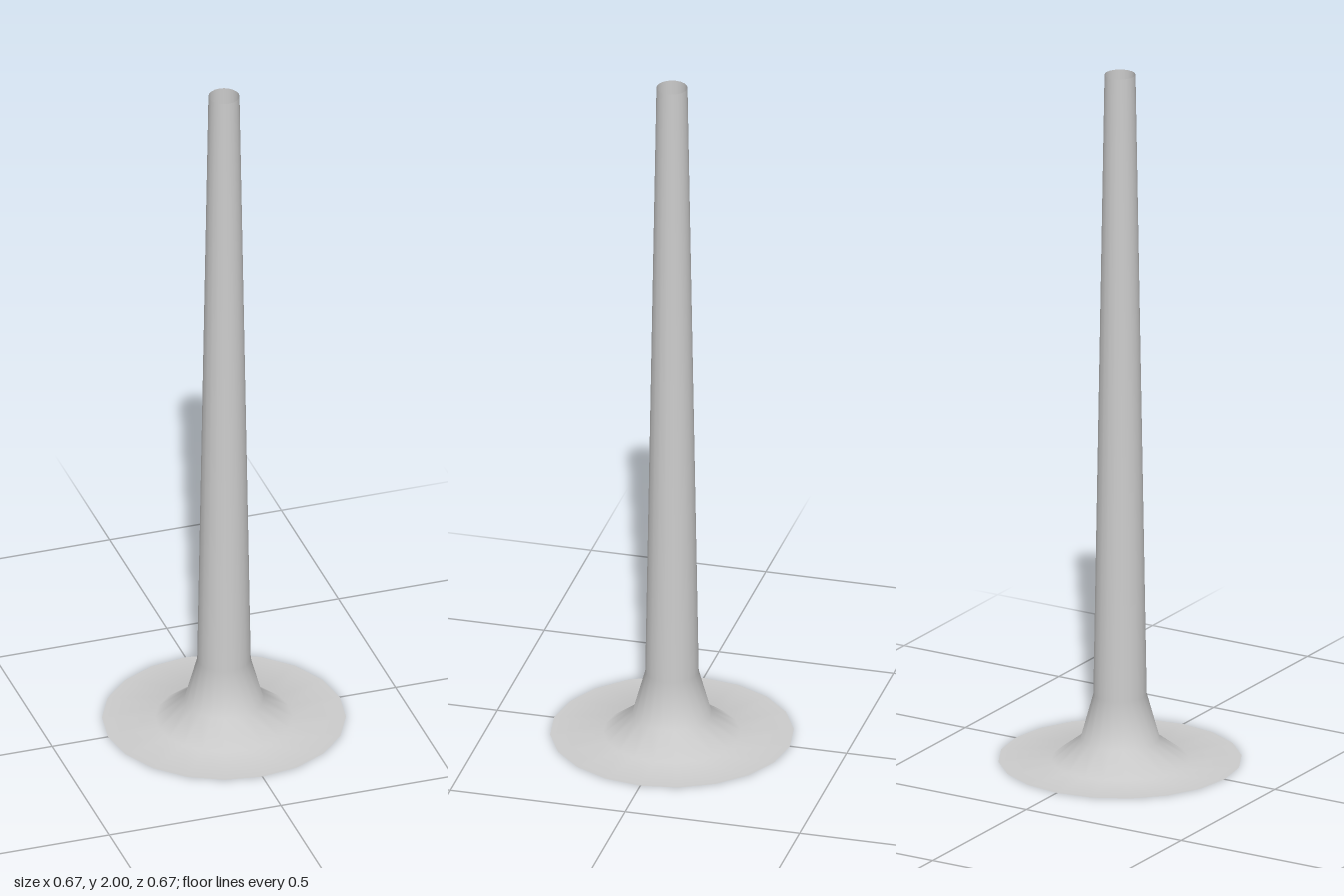
import * as THREE from 'three';

export function createModel() {
  const group = new THREE.Group();
  group.name = 'flaredPipe';
  const material = new THREE.MeshStandardMaterial({ color: 0xcccccc, side: THREE.DoubleSide });

  // Open thin shell: flat flange, flared foot, then a long tapering tube
  const profile = [
    [0.337, 0], [0.19, 0], [0.11, 0.06], [0.074, 0.19], [0.043, 2],
  ].map(([r, y]) => new THREE.Vector2(r, y));

  const pipe = new THREE.Mesh(new THREE.LatheGeometry(profile, 20), material);
  pipe.name = 'pipeWithFlaredBase';
  group.add(pipe);
  return group;
}
